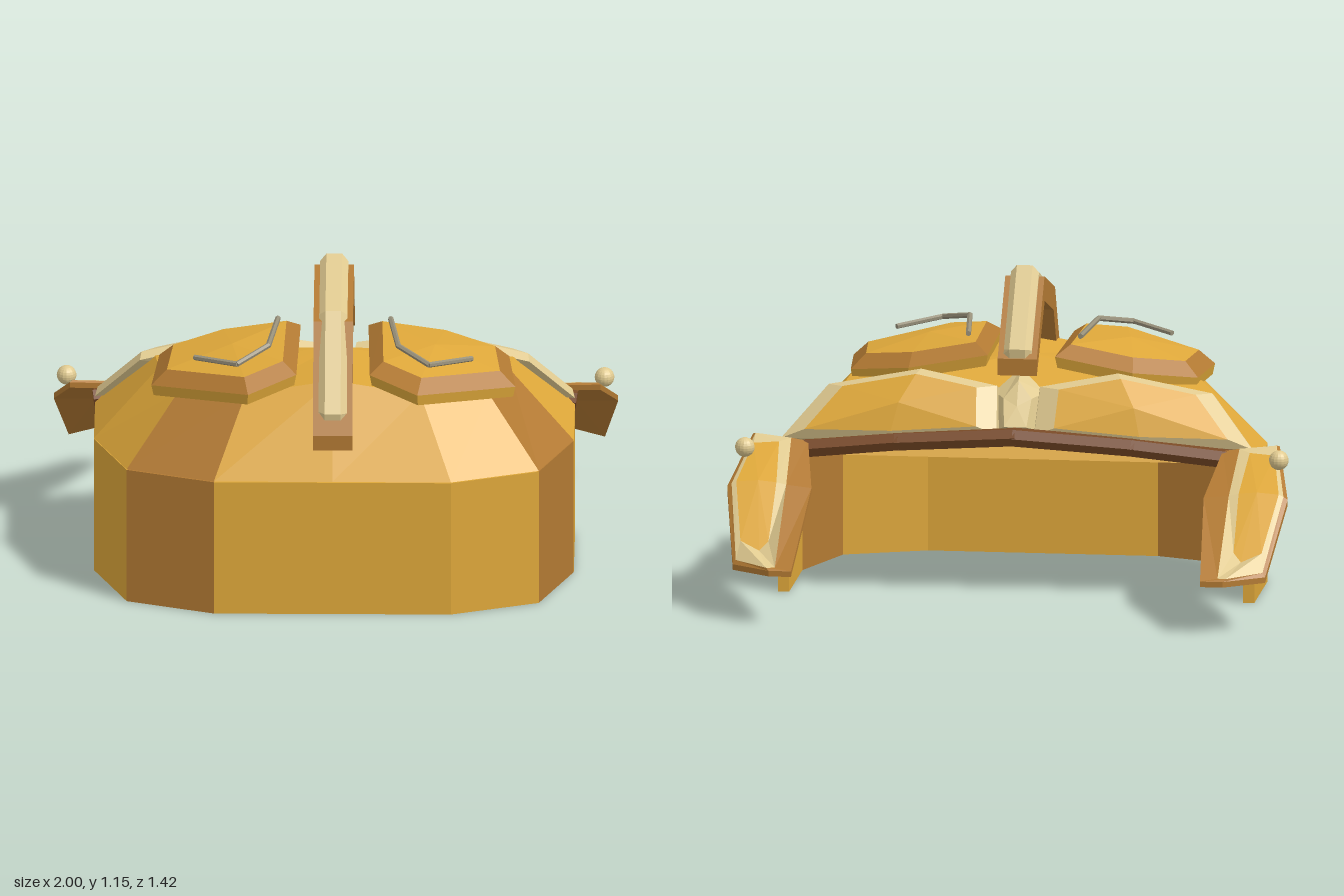
import * as THREE from 'three';

const mat = (name, color) => {
  const m = new THREE.MeshStandardMaterial({ color, flatShading: true });
  m.name = name;
  return m;
};

export function createModel() {
  const gold = mat('gold', 0xdfa83a);
  const brown = mat('bronze brown', 0xb37a33);
  const cream = mat('cream', 0xe0ca90);
  const dark = mat('dark brown', 0x7a4a26);
  const grey = mat('grey wire', 0x98907a);
  const model = new THREE.Group();
  model.name = 'maskShell';

  const add = (name, geo, material) => {
    const mesh = new THREE.Mesh(geo, material);
    mesh.name = name;
    model.add(mesh);
    return mesh;
  };

  // Closed solid through equal-length rings; one material per band (or per side of a band)
  const loft = (name, rings, bands, bottomMat, topMat, bottomMid, topMid) => {
    const mats = [], buckets = [];
    const tri = (m, a, b, c) => {
      let i = mats.indexOf(m);
      if (i < 0) { i = mats.push(m) - 1; buckets.push([]); }
      buckets[i].push([a, b, c]);
    };
    const mid = r => [0, 1, 2].map(k => r.reduce((s, p) => s + p[k], 0) / r.length);
    const n = rings[0].length, last = rings[rings.length - 1];
    const b0 = bottomMid || mid(rings[0]), t0 = topMid || mid(last);
    for (let i = 0; i < n; i++) {
      const j = (i + 1) % n;
      bands.forEach((band, r) => {
        const m = Array.isArray(band) ? band[i] : band, lo = rings[r], hi = rings[r + 1];
        tri(m, lo[i], lo[j], hi[j]);
        tri(m, lo[i], hi[j], hi[i]);
      });
      tri(bottomMat, b0, rings[0][j], rings[0][i]);
      tri(topMat, t0, last[i], last[j]);
    }
    // Signed volume decides the winding so mirrored parts face outwards too
    const V = p => new THREE.Vector3(...p);
    const vol = buckets.flat().reduce((s, t) => s + V(t[0]).dot(V(t[1]).cross(V(t[2]))), 0);
    const pos = [], geo = new THREE.BufferGeometry();
    buckets.forEach((ts, i) => {
      geo.addGroup(pos.length / 3, ts.length * 3, i);
      ts.forEach(([a, b, c]) => pos.push(...a, ...(vol < 0 ? [...c, ...b] : [...b, ...c])));
    });
    geo.setAttribute('position', new THREE.Float32BufferAttribute(pos, 3));
    geo.computeVertexNormals();
    return add(name, geo, mats);
  };

  // Faceted rods along a polyline
  const rods = (name, pts, radius, material) => {
    for (let i = 0; i < pts.length - 1; i++) {
      const a = new THREE.Vector3(...pts[i]), b = new THREE.Vector3(...pts[i + 1]);
      const d = b.clone().sub(a);
      const rod = add(name, new THREE.CylinderGeometry(radius, radius, d.length() + radius * 0.4, 6), material);
      rod.position.copy(a).add(b).multiplyScalar(0.5);
      rod.quaternion.setFromUnitVectors(new THREE.Vector3(0, 1, 0), d.normalize());
    }
  };

  // Wall of thin panels around the front and sides, open at the back
  const plan = [[-0.85, -0.11], [-0.85, 0.28], [-0.73, 0.59], [-0.42, 0.71], [0, 0.71],
    [0.42, 0.71], [0.73, 0.59], [0.85, 0.28], [0.85, -0.11]];
  const inner = [[-0.81, -0.11], [-0.81, 0.27], [-0.7, 0.56], [-0.41, 0.67], [0, 0.67],
    [0.41, 0.67], [0.7, 0.56], [0.81, 0.27], [0.81, -0.11]];
  const panelMats = plan.map((_, i) => (i === 2 || i === 6 ? brown : gold));
  for (let i = 0; i < 8; i++) {
    const foot = [plan[i], plan[i + 1], inner[i + 1], inner[i]];
    const m = panelMats[i];
    loft('wallPanel', [0, 0.497].map(y => foot.map(([x, z]) => [x, y, z])), [m], m, m);
  }

  // Sloped dome on top of the wall
  const crown = [[0.64, 0.72, 0], [0.62, 0.74, 0.2], [0.55, 0.74, 0.45], [0.31, 0.765, 0.53], [0, 0.82, 0.54]];
  const crownRing = [...crown.map(([x, y, z]) => [-x, y, z]), ...crown.slice(0, 4).reverse()];
  loft('dome', [plan.map(([x, z]) => [x, 0.5, z]), crownRing], [panelMats], gold, gold, null, [0, 0.82, 0.2]);

  // Arched handle: broad lower strip and a chamfered cream strip above it
  const arch = (name, pts, width, bevel, material) => {
    const shape = new THREE.Shape(pts.map(p => new THREE.Vector2(...p)));
    const geo = new THREE.ExtrudeGeometry(shape, {
      depth: width - 2 * bevel, bevelEnabled: bevel > 0, bevelSize: bevel,
      bevelThickness: bevel, bevelOffset: -bevel, bevelSegments: 1,
    });
    geo.translate(0, 0, -width / 2 + bevel);
    geo.rotateY(-Math.PI / 2);
    add(name, geo, material);
  };
  arch('handleBase', [[0.66, 0.6], [0.66, 0.655], [0.45, 1.01], [0.145, 1.11], [-0.08, 0.855],
    [-0.08, 0.795], [0.15, 1.02], [0.41, 0.935], [0.6, 0.61]], 0.14, 0, brown);
  arch('handleTop', [[0.65, 0.71], [0.655, 0.735], [0.44, 1.045], [0.14, 1.15], [-0.085, 0.89],
    [-0.075, 0.84], [0.15, 1.08], [0.41, 0.99], [0.6, 0.72]], 0.1, 0.022, cream);

  // Rod along the back edge
  rods('backRod', [[-0.85, 0.51, -0.11], [-0.42, 0.56, -0.145], [0, 0.59, -0.165],
    [0.42, 0.56, -0.145], [0.85, 0.51, -0.11]], 0.035, dark);

  // Small cream gem at the middle of the back
  loft('backGem', [
    [[-0.09, 0.72, 0], [0, 0.8, 0.04], [0.09, 0.72, 0], [0.07, 0.6, -0.08], [-0.07, 0.6, -0.08]],
    [[-0.05, 0.71, -0.07], [0, 0.77, -0.04], [0.05, 0.71, -0.07], [0.04, 0.62, -0.14], [-0.04, 0.62, -0.14]],
  ], [cream], cream, cream);

  // Height of the rear flaps along z
  const profile = [[-0.07, 0.575], [-0.36, 0.42], [-0.62, 0.18], [-0.72, 0.19]];
  const flapY = z => {
    let i = 0;
    while (i < 2 && z < profile[i + 1][0]) i++;
    const [z0, y0] = profile[i], [z1, y1] = profile[i + 1];
    return y0 + (y1 - y0) * (z - z0) / (z1 - z0);
  };

  for (const s of [1, -1]) {
    const flip = ring => ring.map(([x, y, z]) => [x * s, y, z]);

    // Hexagonal pad, lower towards the outside
    const hex = [[0.12, 0.04], [0.4, 0.02], [0.62, 0.13], [0.645, 0.42], [0.3, 0.645], [0.13, 0.53]];
    const padRing = (k, h) => flip(hex.map(([x, z]) => {
      const px = 0.37 + (x - 0.37) * k, pz = 0.31 + (z - 0.31) * k;
      return [px, 0.81 - 0.17 * (px - 0.12) - 0.04 * Math.abs(pz - 0.25) + h, pz];
    }));
    loft('pad', [padRing(0.97, 0), padRing(1, 0.04), padRing(0.8, 0.082)], [gold, brown], gold, gold,
      null, [0.36 * s, 0.868, 0.3]);

    // Bent wire above the pad
    rods('padWire', flip([[0.2, 0.9, 0.13], [0.23, 0.907, 0.42], [0.34, 0.877, 0.53], [0.49, 0.86, 0.42]]), 0.01, grey);

    // Faceted plate on the back slope
    const plate = [[0.06, 0.58, -0.12], [0.07, 0.74, -0.02], [0.35, 0.79, 0.01], [0.69, 0.72, 0.035],
      [0.85, 0.54, -0.08], [0.45, 0.55, -0.12]];
    const plateRing = (k, h) => flip(plate.map(([x, y, z]) => [
      0.42 + (x - 0.42) * k, 0.655 + (y - 0.655) * k + h * 0.5, -0.05 + (z + 0.05) * k - h * 0.85]));
    loft('backPlate', [plateRing(1, -0.02), plateRing(0.98, 0.02), plateRing(0.78, 0.05)], [cream, cream],
      cream, gold, null, [0.42 * s, 0.695, -0.115]);

    // Rear flap with brown base, cream border and gold centre
    const flapRing = (pts, h) => flip(pts.map(([x, z]) => [x, flapY(z) + h, z]));
    const edge = [[0.73, -0.71], [0.81, -0.71], [0.95, -0.61], [1, -0.36], [0.94, -0.1], [0.74, -0.13], [0.7, -0.36]];
    const border = [[0.79, -0.69], [0.82, -0.7], [0.94, -0.605], [0.985, -0.36], [0.93, -0.11], [0.8, -0.13], [0.79, -0.36]];
    const centre = [[0.83, -0.55], [0.86, -0.58], [0.93, -0.55], [0.968, -0.36], [0.93, -0.17], [0.84, -0.16], [0.825, -0.36]];
    loft('rearFlap', [flapRing(edge, -0.012), flapRing(edge, 0.008), flapRing(border, 0.018), flapRing(centre, 0.026)],
      [brown, brown, cream], brown, gold, [0.85 * s, 0.408, -0.36], [0.89 * s, 0.452, -0.36]);

    // Round knob beside the flap
    const knob = add('flapKnob', new THREE.SphereGeometry(0.035, 16, 12), cream);
    knob.position.set(0.953 * s, 0.545, -0.235);
  }
  return model;
}
